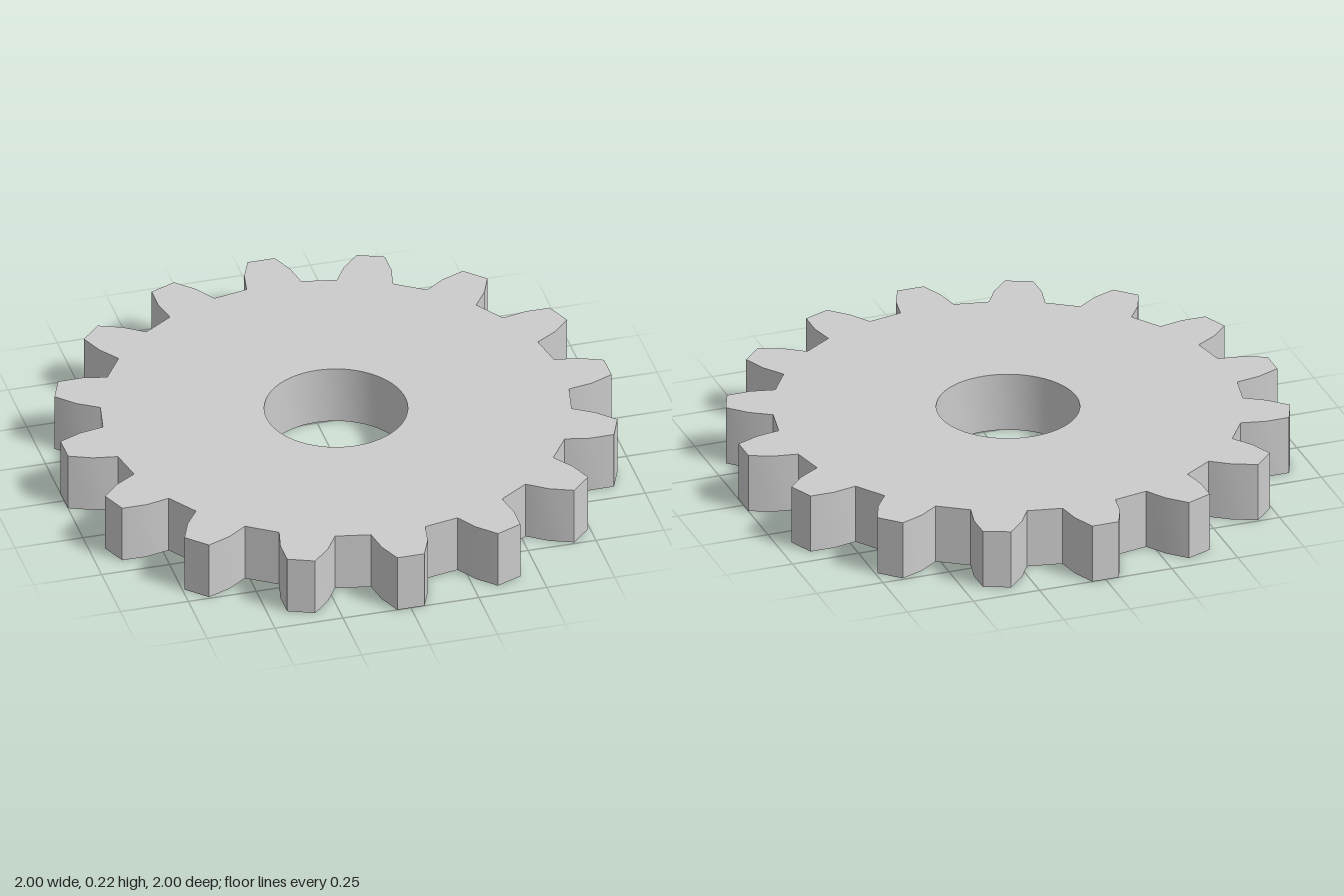
import * as THREE from 'three';
import { toCreasedNormals } from 'three/addons/utils/BufferGeometryUtils.js';

const TEETH = 16;
const THICKNESS = 0.22;
const BORE_RADIUS = 0.255;

// One tooth pointing outward: [sideways, outward], from root over the tip to root
const HALF_TOOTH = [[0.1, 0.83], [0.085, 0.917], [0.05, 1]];
const TOOTH = [
  ...HALF_TOOTH,
  ...HALF_TOOTH.map(([s, r]) => [-s, r]).reverse(),
];

export function createModel() {
  const group = new THREE.Group();
  group.name = 'spurGear';

  // Outline: the tooth repeated around the centre, straight roots between
  const outline = [];
  for (let i = 0; i < TEETH; i++) {
    const angle = (i / TEETH) * Math.PI * 2;
    for (const [s, r] of TOOTH) {
      outline.push(new THREE.Vector2(s, r).rotateAround(new THREE.Vector2(), angle));
    }
  }
  const shape = new THREE.Shape(outline);

  // Round centre bore
  const bore = new THREE.Path();
  bore.absarc(0, 0, BORE_RADIUS, 0, Math.PI * 2, true);
  shape.holes.push(bore);

  // Flat plate standing on y = 0, with smooth flanks and bore but sharp edges
  const plate = new THREE.ExtrudeGeometry(shape, {
    depth: THICKNESS,
    bevelEnabled: false,
    curveSegments: 32,
  });
  plate.rotateX(-Math.PI / 2);

  const gear = new THREE.Mesh(
    toCreasedNormals(plate, THREE.MathUtils.degToRad(20)),
    new THREE.MeshStandardMaterial({ color: 0xcccccc }),
  );
  gear.name = 'toothedDisc';
  group.add(gear);
  return group;
}
